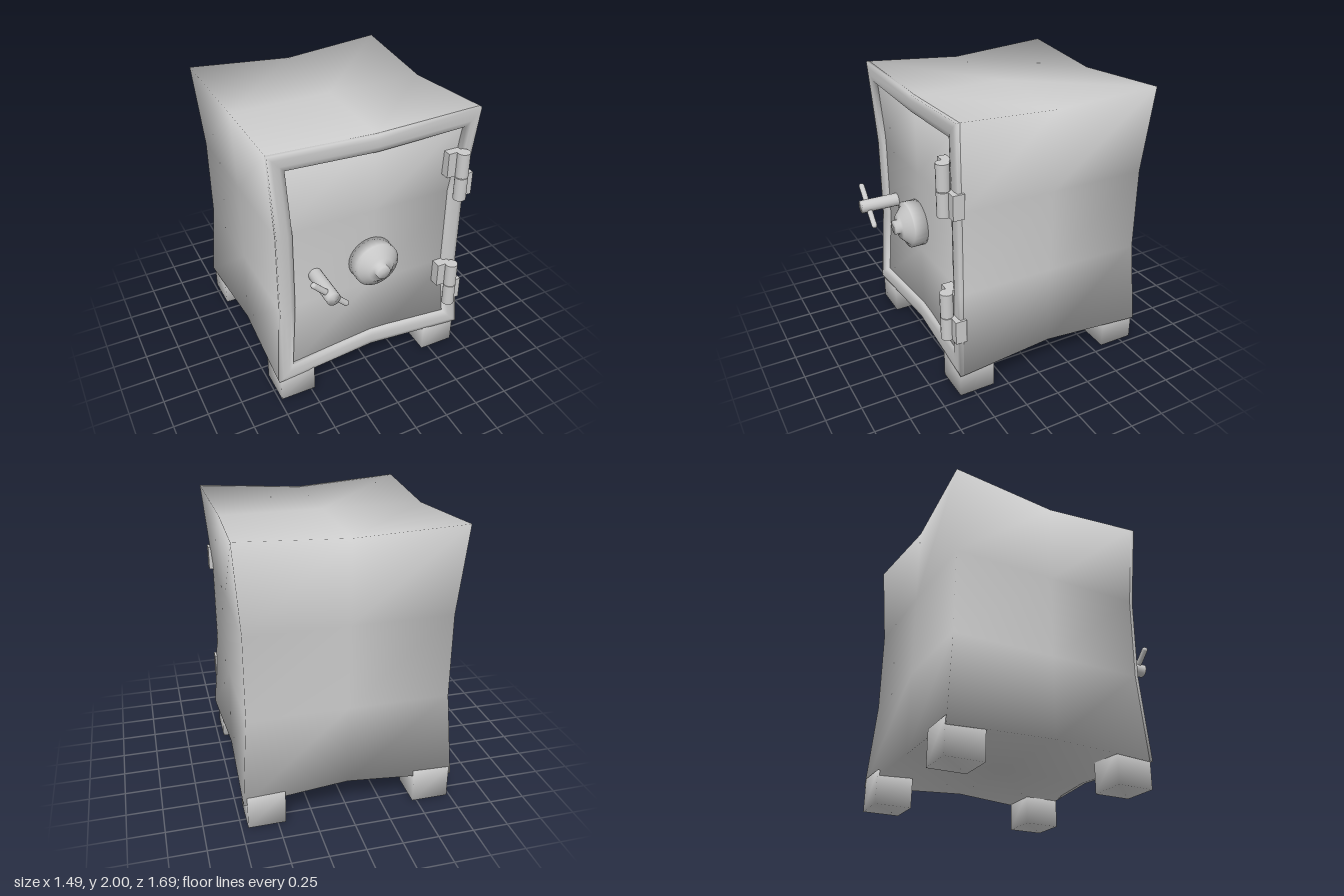
import * as THREE from 'three';
import { mergeVertices } from 'three/addons/utils/BufferGeometryUtils.js';

const material = new THREE.MeshStandardMaterial({ color: 0xcccccc });

function add(parent, name, geometry, x = 0, y = 0, z = 0) {
  const mesh = new THREE.Mesh(geometry, material);
  mesh.name = name;
  mesh.position.set(x, y, z);
  parent.add(mesh);
  return mesh;
}

// Weld corners so the shading runs smoothly around the edges
function soften(geometry) {
  geometry.deleteAttribute('uv');
  geometry.deleteAttribute('normal');
  const welded = mergeVertices(geometry);
  welded.computeVertexNormals();
  return welded;
}

// Pinched box: u, v, w in -1..1 give a point with corners pulled outwards
function pinch(u, v, w) {
  const end = Math.abs(v) > 0.9 ? 1 : 0;
  const corner = Math.abs(u * w);
  const x = u * (0.70 + 0.015 * end + 0.03 * end * Math.abs(w) - (u > 0 ? 0.015 : 0))
    + (u > 0 && v > 0 && w > 0 ? 0.01 * end : 0);
  let y = 1.095 + v * 0.885;
  if (end) y = v > 0 ? 1.955 + 0.045 * corner : 0.225 - 0.04 * corner;
  let z = -0.1;
  if (w > 0) z = 0.56 + 0.03 * Math.abs(u) * end;
  if (w < 0) z = -0.805 - 0.04 * Math.abs(u) * end;
  return [x, y, z];
}

function bodyGeometry() {
  const geometry = soften(new THREE.BoxGeometry(2, 2, 2, 2, 3, 2));
  const p = geometry.attributes.position;
  for (let i = 0; i < p.count; i++) {
    p.setXYZ(i, ...pinch(p.getX(i), p.getY(i), p.getZ(i)));
  }
  geometry.computeVertexNormals();
  return geometry;
}

// Raised rim: a rounded section swept around the front edge of the body
function frameGeometry() {
  const t = 1 / 3;
  const path = [[-1, -1], [0, -1], [1, -1], [1, -t], [1, t], [1, 1], [0, 1], [-1, 1], [-1, t], [-1, -t]];
  const section = [[0, 0], [0, 0.024], [0.03, 0.03], [0.075, 0.03], [0.11, 0.02], [0.115, -0.01]];
  const positions = [];
  const index = [];
  const n = section.length;
  path.forEach(([u, v], i) => {
    const [x, y, z] = pinch(u, v, 1);
    for (const [inset, rise] of section) {
      positions.push(x - u * inset, y - (Math.abs(v) === 1 ? v * inset * 1.08 : 0), z + rise);
    }
    const next = (i + 1) % path.length;
    for (let k = 0; k < n - 1; k++) {
      const a = i * n + k;
      const b = next * n + k;
      index.push(a, b, b + 1, a, b + 1, a + 1);
    }
  });
  const geometry = new THREE.BufferGeometry();
  geometry.setAttribute('position', new THREE.Float32BufferAttribute(positions, 3));
  geometry.setIndex(index);
  geometry.computeVertexNormals();
  return geometry;
}

// One half of a hinge: barrel plus a leaf pointing to the given side
function addHingeHalf(parent, bottom, top, side) {
  const half = new THREE.Group();
  half.name = side < 0 ? 'doorHingeHalf' : 'frameHingeHalf';
  half.position.set(0.61, (bottom + top) / 2, 0.648);
  parent.add(half);
  const height = top - bottom;
  add(half, 'hingeBarrel', new THREE.CylinderGeometry(0.045, 0.045, height, 16));
  add(half, 'hingeLeaf', new THREE.BoxGeometry(0.104, height, 0.08), side * 0.052, 0, -0.055);
}

export function createModel() {
  const model = new THREE.Group();
  model.name = 'safe';

  add(model, 'body', bodyGeometry());
  add(model, 'doorFrame', frameGeometry());

  // Four stubby feet
  for (const x of [-0.6, 0.575]) {
    for (const z of [0.475, -0.715]) {
      add(model, 'foot', soften(new THREE.BoxGeometry(0.26, 0.24, 0.26)), x, 0.12, z);
    }
  }

  // Combination dial, turned around the z axis
  const profile = [[0, 0], [0.165, 0], [0.165, 0.105], [0.145, 0.105], [0.09, 0.16],
    [0.05, 0.16], [0.05, 0.2], [0, 0.2]].map(([r, h]) => new THREE.Vector2(r, h));
  add(model, 'dial', new THREE.LatheGeometry(profile, 28), -0.016, 1.012, 0.55).rotation.x = Math.PI / 2;

  // Door handle: shaft with a slanted crossbar
  const handle = new THREE.Group();
  handle.name = 'handle';
  handle.position.set(-0.432, 1.012, 0);
  model.add(handle);
  const shaft = add(handle, 'handleShaft', soften(new THREE.CylinderGeometry(0.048, 0.048, 0.295, 16)), 0, 0, 0.6975);
  shaft.rotation.x = Math.PI / 2;
  const bar = add(handle, 'handleBar', new THREE.CapsuleGeometry(0.021, 0.32, 4, 12), 0, 0, 0.79);
  bar.rotation.z = Math.PI / 4;

  // Two hinges on the model's left edge
  for (const y of [0.45, 1.365]) {
    addHingeHalf(model, y + 0.175, y + 0.355, -1);
    addHingeHalf(model, y, y + 0.17, 1);
  }
  return model;
}
